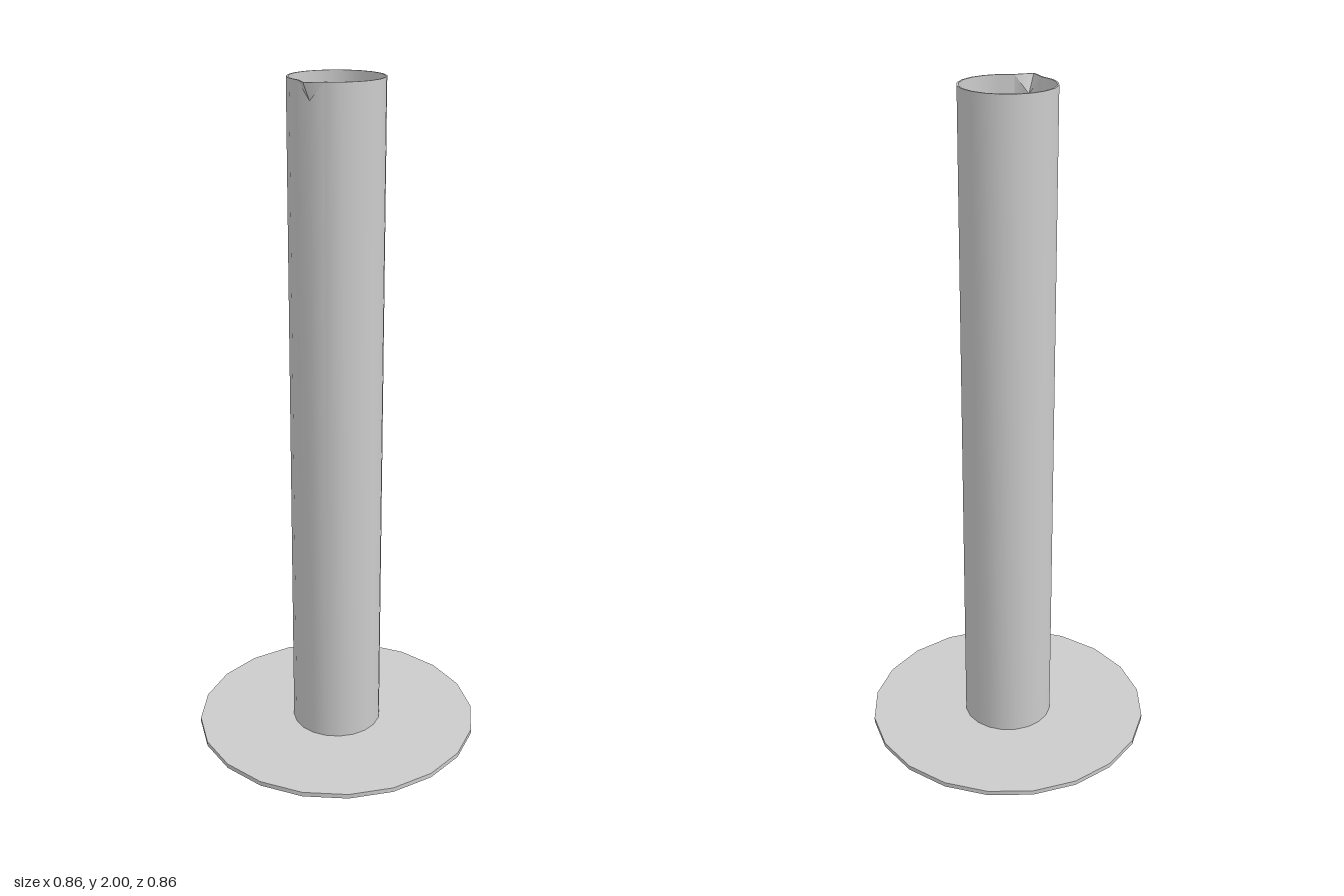
import * as THREE from 'three';
import { toCreasedNormals } from 'three/addons/utils/BufferGeometryUtils.js';

const SIDES = 20;
const HEIGHT = 2;
const BASE_TOP = 0.014;
const OUTER = 0.136;
const INNER = 0.131;
const LIP_Y = 1.95; // where the spout starts to leave the wall
const LIP_OUT = 0.031; // how far the spout tip is drawn forward

// Hollow tube whose front rim corner is pulled out into a pouring spout
function tubeGeometry() {
  const profile = [
    [OUTER, BASE_TOP], [OUTER, LIP_Y], [OUTER, HEIGHT],
    [INNER, HEIGHT], [INNER, LIP_Y], [INNER, BASE_TOP],
  ].map(([r, y]) => new THREE.Vector2(r, y));
  const geometry = new THREE.LatheGeometry(profile, SIDES);
  const p = geometry.attributes.position;
  for (let i = 0; i < p.count; i++) {
    const front = Math.abs(p.getX(i)) < 1e-4 && p.getZ(i) > 0;
    const y = p.getY(i);
    if (front && y > HEIGHT - 0.001) p.setZ(i, p.getZ(i) + LIP_OUT);
    // Only the front keeps the lower lip point, so each spout side is one triangle
    if (!front && Math.abs(y - LIP_Y) < 0.001) p.setY(i, HEIGHT);
  }
  return toCreasedNormals(geometry, 0.6);
}

export function createModel() {
  const group = new THREE.Group();
  group.name = 'measuringCylinder';
  const material = new THREE.MeshStandardMaterial({ color: 0xcccccc, side: THREE.DoubleSide });

  // Flat foot plate, which also closes the tube
  const base = new THREE.Mesh(new THREE.CylinderGeometry(0.432, 0.432, BASE_TOP, SIDES), material);
  base.name = 'base';
  base.position.y = BASE_TOP / 2;

  const tube = new THREE.Mesh(tubeGeometry(), material);
  tube.name = 'tubeWithSpout';

  group.add(base, tube);
  return group;
}
